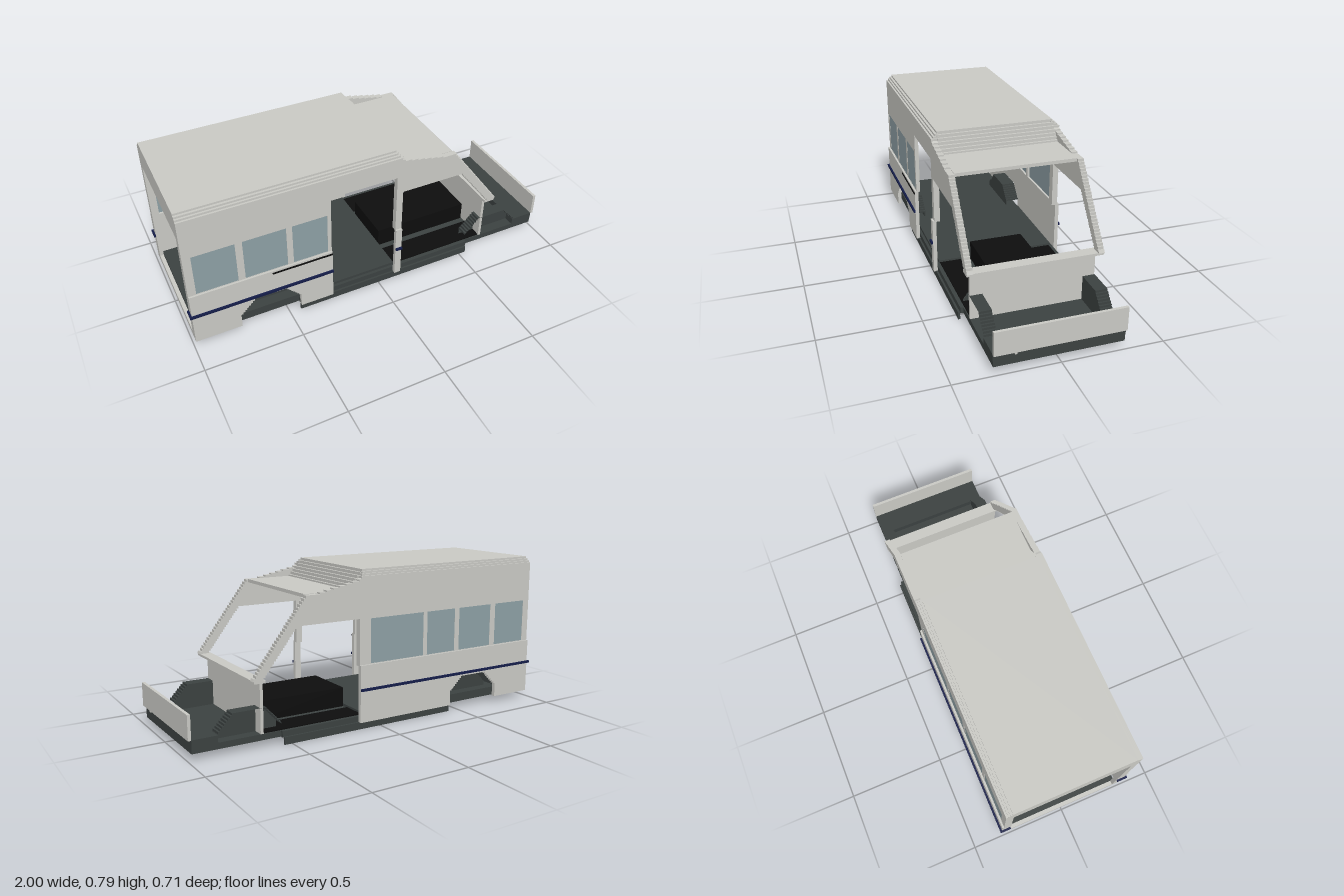
import * as THREE from 'three';

export function createModel() {
  const group = new THREE.Group();
  const mat = (name, color, extra = {}) => {
    const m = new THREE.MeshStandardMaterial({ color, ...extra });
    m.name = name;
    return m;
  };
  const body = mat('pale grey body', 0xc8c8c3);
  const dark = mat('dark slate floor', 0x3b4140, { side: THREE.DoubleSide });
  const black = mat('black cabin', 0x0d0d0d);
  const glass = mat('blue grey glass', 0x8c9ea3);
  const navy = mat('navy stripe', 0x141c48);

  // box given by its limits on each axis
  const box = (name, m, x0, x1, y0, y1, z0, z1) => {
    const mesh = new THREE.Mesh(new THREE.BoxGeometry(x1 - x0, y1 - y0, z1 - z0), m);
    mesh.position.set((x0 + x1) / 2, (y0 + y1) / 2, (z0 + z1) / 2);
    mesh.name = name;
    group.add(mesh);
  };
  // the same box on one side of the vehicle, s = 1 or -1
  const sideBox = (s, name, m, x0, x1, y0, y1, z0, z1) =>
    box(name, m, x0, x1, y0, y1, Math.min(s * z0, s * z1), Math.max(s * z0, s * z1));
  // side-on outline extruded between two depths
  const plate = (s, name, m, pts, z0, z1, holes = []) => {
    const shape = new THREE.Shape(pts.map(p => new THREE.Vector2(...p)));
    holes.forEach(([a, b, c, d]) => shape.holes.push(new THREE.Path(
      [[a, c], [a, d], [b, d], [b, c]].map(p => new THREE.Vector2(...p)))));
    const g = new THREE.ExtrudeGeometry(shape, { depth: z1 - z0, bevelEnabled: false });
    const mesh = new THREE.Mesh(g, m);
    mesh.position.z = s > 0 ? z0 : -z1;
    mesh.name = name;
    group.add(mesh);
  };
  // staircase from a to b; xFirst picks the direction of the first tread
  const stairs = (a, b, n, xFirst) => {
    const pts = [a];
    for (let i = 1; i <= n; i++) {
      const p = pts[pts.length - 1];
      const q = [a[0] + (b[0] - a[0]) * i / n, a[1] + (b[1] - a[1]) * i / n];
      pts.push(xFirst ? [q[0], p[1]] : [p[0], q[1]], q);
    }
    return pts;
  };
  // stepped outline of a wheel arch, rear foot to front foot
  const archLine = (x0, x1, top) => [
    ...stairs([x0, 0.1], [x0 + 0.085, top], 8, false),
    ...stairs([x1 - 0.08, top], [x1, 0.105], 8, true)];

  // floor, chassis rails and front platform
  box('floor', dark, -0.985, 0.985, 0.035, 0.065, -0.31, 0.31);
  box('rearFloor', dark, -0.97, 0.1, 0.065, 0.08, -0.31, 0.31);
  box('frontCrossmember', dark, 0.86, 0.985, 0.065, 0.1, -0.312, 0.312);
  box('nosePanel', body, 0.985, 1, 0.098, 0.218, -0.312, 0.312);
  box('noseClip', body, 0.986, 0.998, 0.088, 0.098, 0.206, 0.216);

  // cab floor and engine cover
  box('engineCover', black, 0.1, 0.63, 0.065, 0.165, -0.14, 0.14);

  // dash panel and cowl
  box('dashPanel', body, 0.635, 0.65, 0.065, 0.32, -0.31, 0.31);
  box('cowl', body, 0.632, 0.69, 0.313, 0.325, -0.335, 0.335);

  const windows = [[-0.95, -0.745], [-0.71, -0.495], [-0.465, -0.285], [-0.26, 0.06]];
  for (const s of [1, -1]) {
    const doorSide = s > 0;
    const end = doorSide ? -0.265 : 0.125;

    sideBox(s, 'chassisRail', dark, -0.96, 0.965, 0.023, 0.035, 0.143, 0.175);
    sideBox(s, 'sideSill', dark, -0.44, 0.54, 0, 0.037, 0.325, 0.335);
    sideBox(s, 'floorEdge', dark, -0.44, 0.545, 0.035, 0.065, 0.31, 0.325);
    sideBox(s, 'cabFloor', black, 0.1, 0.635, 0.065, 0.07, 0.178, 0.305);

    // lower wall with wheel cutout
    plate(s, 'lowerWall', body, [
      [-0.99, 0.035], [-0.755, 0.035], ...archLine(-0.755, -0.44, 0.185), [-0.44, 0.035],
      [end, 0.035], [end, 0.325], [-0.99, 0.325]], 0.325, 0.345);

    // upper wall, windows and the doorway on one side
    const panes = windows.slice(0, doorSide ? 3 : 4);
    const lower = doorSide
      ? [[-0.99, 0.32], [-0.265, 0.32], [-0.265, 0.65], [0.09, 0.65]]
      : [[-0.99, 0.32], [0.09, 0.32]];
    plate(s, 'upperWall', body, [...lower, [0.09, 0.756], [-0.99, 0.756]], 0.315, 0.335,
      panes.map(([a, b]) => [a, b, 0.328, 0.552]));
    panes.forEach(([a, b]) => sideBox(s, 'window', glass, a, b, 0.328, 0.552, 0.326, 0.334));

    // door post, front roof side and stepped windscreen pillar in one panel
    plate(s, 'frontPillarPanel', body, [
      [0.09, 0.32], [0.125, 0.32], [0.125, 0.555], [0.47, 0.555],
      ...stairs([0.47, 0.555], [0.65, 0.325], 20, false).slice(1),
      [0.695, 0.325], ...stairs([0.69, 0.325], [0.41, 0.693], 28, false).slice(1),
      ...stairs([0.38, 0.693], [0.13, 0.745], 7, true).slice(1),
      [0.09, 0.756]], 0.305, 0.335);
    if (doorSide) sideBox(s, 'lowerDoorPost', body, 0.09, 0.125, 0.035, 0.325, 0.325, 0.345);

    // stepped roof edge
    [[0.335, 0.75, 0.76, 0.115], [0.325, 0.76, 0.77, 0.108], [0.315, 0.77, 0.78, 0.1]].forEach(
      ([z, y0, y1, x1]) => sideBox(s, 'roofEdge', body, -0.99, x1, y0, y1, 0.295, z));

    // stripes and door track
    sideBox(s, 'sideStripe', navy, -0.995, end, 0.196, 0.208, 0.345, 0.355);
    if (doorSide) {
      sideBox(s, 'postStripe', navy, 0.09, 0.125, 0.196, 0.208, 0.345, 0.355);
      sideBox(s, 'doorTrack', black, -0.58, -0.265, 0.307, 0.315, 0.345, 0.349);
    }
    sideBox(s, 'rearStripe', navy, -1, -0.99, 0.196, 0.208, 0.3, 0.355);

    // open frame at the back
    sideBox(s, 'rearPost', body, -0.99, -0.97, 0.035, 0.75, 0.295, 0.334);

    // wheel arches: stepped cover and inner wall
    [[-0.755, -0.44, 0.184, 0.325], [0.545, 0.86, 0.19, 0.312]].forEach(([x0, x1, top, z1]) => {
      const line = archLine(x0, x1, top);
      plate(s, 'archInnerWall', dark, [[x0, 0.06], ...line, [x1, 0.06]], 0.25, 0.256);
      const pos = [], idx = [];
      line.forEach(([x, y], i) => {
        pos.push(x, y, s * 0.25, x, y, s * z1);
        if (i) idx.push(2 * i - 2, 2 * i - 1, 2 * i, 2 * i, 2 * i - 1, 2 * i + 1);
      });
      let g = new THREE.BufferGeometry();
      g.setAttribute('position', new THREE.Float32BufferAttribute(pos, 3));
      g.setIndex(idx);
      g = g.toNonIndexed();
      g.computeVertexNormals();
      const cover = new THREE.Mesh(g, dark);
      cover.name = 'archCover';
      group.add(cover);
    });
  }

  // roof and rear frame
  box('roof', body, -0.99, 0.095, 0.775, 0.79, -0.303, 0.303);
  box('rearHeader', body, -0.99, -0.97, 0.65, 0.776, -0.3, 0.3);
  box('rearSill', body, -0.99, -0.97, 0.035, 0.066, -0.335, 0.335);

  // stepped drop to the lower front roof
  for (let i = 0; i < 6; i++) {
    const x = 0.095 + i * 0.0125, y = 0.776 - i * 0.0145;
    box('roofStep', body, x - 0.003, x + 0.0125, y - 0.02, y, -0.305, 0.305);
  }
  box('frontRoof', body, 0.16, 0.41, 0.678, 0.695, -0.306, 0.306);

  return group;
}
